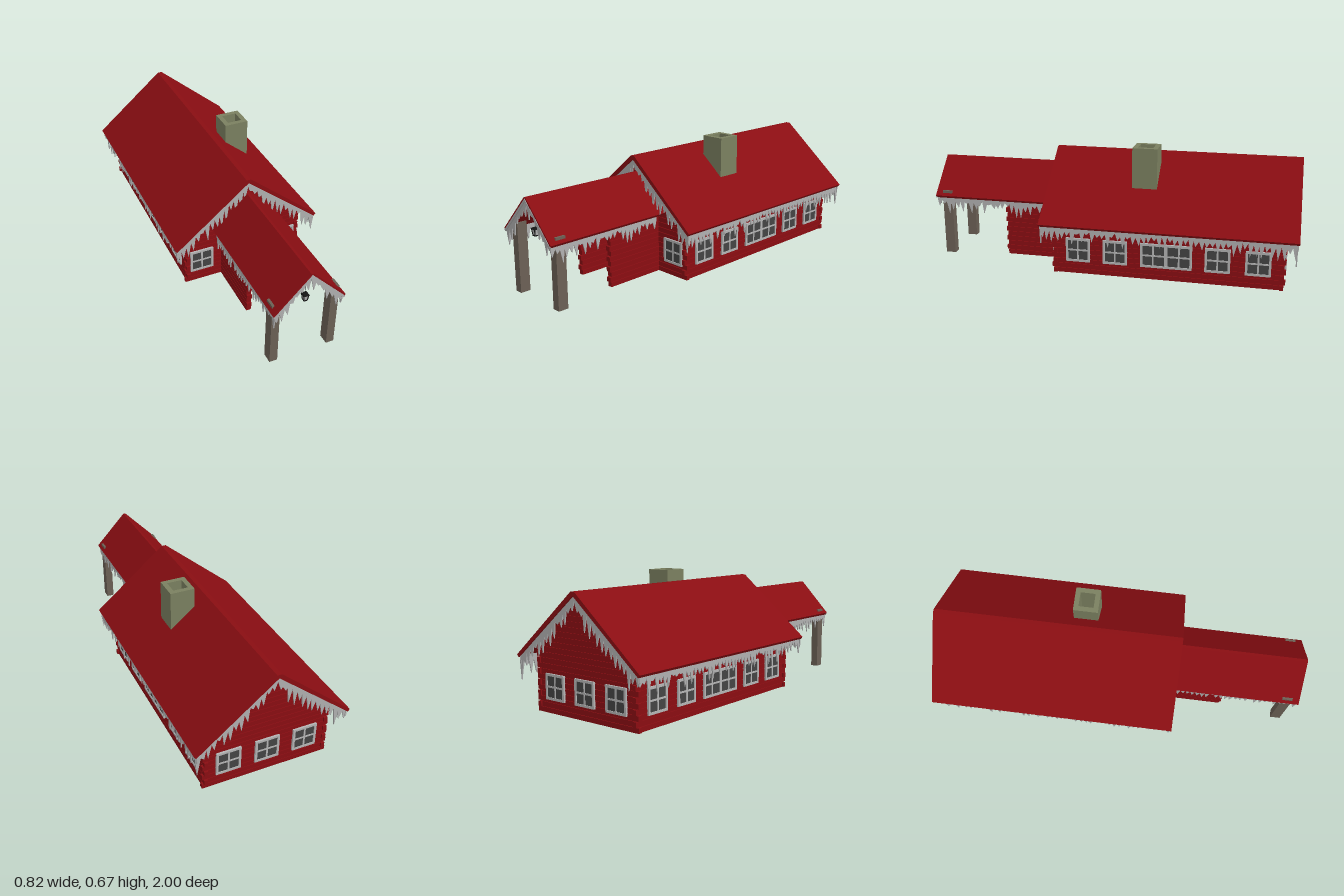
import * as THREE from 'three';

const mat = (color, side = THREE.FrontSide) => new THREE.MeshStandardMaterial({ color, side, flatShading: true });
const RED = mat(0x8a0d12), ICE = mat(0xb0b0b0, THREE.DoubleSide), FRAME = mat(0xb4b4b4), GLASS = mat(0x444444);
const POST = mat(0x6b6055), DOOR = mat(0x80553c), STONE = mat(0x7b8060), BLACK = mat(0x151515);

let seed = 7;
const rnd = () => (seed = (seed * 16807) % 2147483647) / 2147483647;

function add(parent, name, geo, material, x = 0, y = 0, z = 0) {
  const m = new THREE.Mesh(geo, material);
  m.name = name;
  m.position.set(x, y, z);
  parent.add(m);
  return m;
}
const box = (parent, name, material, w, h, d, x, y, z) =>
  add(parent, name, new THREE.BoxGeometry(w, h, d), material, x, y, z);
function group(parent, name) {
  const g = new THREE.Group();
  g.name = name;
  parent.add(g);
  return g;
}
const outline = pts => new THREE.Shape(pts.map(p => new THREE.Vector2(p[0], p[1])));
const extrude = (shape, depth) => new THREE.ExtrudeGeometry(shape, { depth, bevelEnabled: false });

// Gabled roof slab from its front section
function roof(parent, name, half, eave, ridge, flat, t, z0, z1) {
  const pts = [[-flat, ridge], [-half, eave], [-half + 0.01, eave - 0.013], [0, ridge - t],
    [half - 0.01, eave - 0.013], [half, eave], [flat, ridge]];
  add(parent, name, extrude(outline(pts), z1 - z0), RED, 0, 0, z0);
}

// Jagged sheet of icicles hanging from the line (u0,v0)-(u1,v1)
function icicles(parent, name, u0, v0, u1, v1, min, max) {
  const n = Math.max(4, Math.round(Math.abs(u1 - u0) / 0.027));
  const at = t => [u0 + (u1 - u0) * t, v0 + (v1 - v0) * t];
  const pts = [at(0), at(1)];
  for (let i = n; i > 0; i--) {
    const [ru, rv] = at(i / n), [tu, tv] = at((i - 0.3 - rnd() * 0.4) / n);
    pts.push([ru, rv - min * (0.5 + rnd() * 0.5)]);
    pts.push([tu, tv - min - (max - min) * rnd()]);
  }
  pts.push([u0, v0 - min * 0.6]);
  return add(parent, name, extrude(outline(pts), 0.006), ICE);
}

// Framed window with crossing bars, facing +z
function windowUnit(parent, x, y, z, turn, panes = 1) {
  const g = group(parent, 'window'), w = 0.13 * panes + (panes > 1 ? 0.01 : 0), h = 0.13, b = 0.012;
  box(g, 'glass', GLASS, w - b, h - b, 0.006, 0, 0, 0);
  for (const s of [-1, 1]) {
    box(g, 'frameSide', FRAME, b, h, 0.014, s * (w - b) / 2, 0, 0);
    box(g, 'frameRail', FRAME, w, b, 0.014, 0, s * (h - b) / 2, 0);
  }
  box(g, 'crossBar', FRAME, w, 0.009, 0.011, 0, 0, 0);
  const n = panes * 2;
  for (let i = 1; i < n; i++)
    box(g, 'uprightBar', FRAME, i % 2 ? 0.009 : 0.018, h, 0.011, -w / 2 + w * i / n, 0, 0);
  g.position.set(x, y, z);
  g.rotation.y = turn;
}

export function createModel() {
  const root = new THREE.Group();
  root.name = 'logCabin';
  const pitch = 0.0275, logH = 0.0245, zF = 0.27, zB = -0.935, zMid = (zF + zB) / 2, len = zF - zB;

  // Main house: solid core with courses of logs, ends alternating at the corners
  const house = group(root, 'house');
  const core = outline([[-0.325, 0], [0.325, 0], [0.325, 0.33], [0, 0.596], [-0.325, 0.33]]);
  add(house, 'wallCore', extrude(core, len - 0.01), RED, 0, 0, zB + 0.005);
  for (let k = 0; k < 21; k++) {
    const y = (k + 0.5) * pitch, wall = k < 12;
    const half = Math.min(0.33, (0.598 - (k + 1) * pitch) / 0.82);
    const ex = wall && k % 2 === 0 ? 0.008 : 0, ez = wall && k % 2 ? 0.008 : 0;
    for (const z of [zF - 0.01, zB + 0.01])
      box(house, 'gableLog', RED, 2 * (half + ex), logH, 0.02, 0, y, z);
    if (wall) for (const s of [-1, 1])
      box(house, 'sideLog', RED, 0.02, logH, len + 2 * ez, s * 0.32, y, zMid);
    if (k > 16) box(house, 'ridgeLogEnd', RED, 0.026, logH, 0.02, 0, y, zF + 0.005);
  }
  roof(root, 'mainRoof', 0.41, 0.285, 0.617, 0.012, 0.019, -1, 0.33);

  // Windows
  for (const s of [-1, 1]) {
    windowUnit(root, s * 0.243, 0.135, zF + 0.003, 0);
    for (const [z, panes] of [[0.135, 1], [-0.065, 1], [-0.335, 2], [-0.6, 1], [-0.805, 1]])
      windowUnit(root, s * 0.333, 0.135, z, s * Math.PI / 2, panes);
  }
  for (const x of [-0.205, 0, 0.205]) windowUnit(root, x, 0.135, zB - 0.003, Math.PI);

  // Door with an irregular pane
  box(root, 'door', DOOR, 0.13, 0.188, 0.016, 0, 0.094, zF + 0.004);
  const pane = outline([[-0.028, 0.11], [0.026, 0.11], [0.03, 0.145], [0.034, 0.178], [-0.034, 0.18], [-0.032, 0.145]]);
  add(root, 'doorPane', extrude(pane, 0.006), GLASS, 0, 0, zF + 0.01);

  // Porch: open passage between two log walls, roof on two posts
  const porch = group(root, 'porch');
  for (const s of [-1, 1]) {
    box(porch, 'porchWallCore', RED, 0.016, 0.365, 0.325, s * 0.117, 0.1825, 0.4325);
    for (let k = 0; k < 13; k++) {
      const e = k % 2 ? 0.008 : 0;
      box(porch, 'porchLog', RED, 0.026, logH, 0.335 + e, s * 0.117, (k + 0.5) * pitch, 0.4325 + e / 2);
    }
    box(porch, 'post', POST, 0.042, 0.365, 0.055, s * 0.156, 0.1825, 0.935);
  }
  roof(porch, 'porchRoof', 0.19, 0.338, 0.53, 0.006, 0.014, 0.26, 1);

  // Grey edging under the porch roof front
  const edge = outline([[-0.187, 0.33], [0, 0.524], [0.187, 0.33], [0.18, 0.322], [0, 0.51], [-0.18, 0.322]]);
  add(porch, 'porchEdging', extrude(edge, 0.006), ICE, 0, 0, 0.996);

  // Hanging lantern
  const lamp = group(porch, 'lantern');
  const lampPart = (name, top, bottom, h, y, m) =>
    add(lamp, name, new THREE.CylinderGeometry(top, bottom, h, 4).rotateY(Math.PI / 4), m, 0, y, 0.95);
  lampPart('lanternGlass', 0.017, 0.011, 0.03, 0.35, FRAME);
  lampPart('lanternCap', 0.017, 0.023, 0.007, 0.368, BLACK);
  lampPart('lanternBase', 0.014, 0.014, 0.005, 0.333, BLACK);
  lampPart('lanternCord', 0.001, 0.001, 0.14, 0.442, BLACK);
  for (const sx of [-1, 1]) for (const sz of [-1, 1]) {
    const bar = box(lamp, 'lanternBar', BLACK, 0.004, 0.032, 0.004, sx * 0.0105, 0.35, 0.95 + sz * 0.0105);
    bar.rotation.set(sz * 0.13, 0, -sx * 0.13);
  }

  // Chimney with an open flue
  const stack = outline([[-0.066, -0.066], [0.066, -0.066], [0.066, 0.066], [-0.066, 0.066]]);
  stack.holes.push(outline([[-0.04, -0.04], [-0.04, 0.04], [0.04, 0.04], [0.04, -0.04]]));
  add(root, 'chimney', extrude(stack, 0.22).rotateX(-Math.PI / 2), STONE, 0.14, 0.45, -0.195);

  // Icicles along gables and eaves
  const ice = group(root, 'icicles');
  for (const s of [-1, 1]) {
    for (const z of [0.318, -0.992])
      icicles(ice, 'gableIcicles', 0, 0.597, s * 0.4, 0.276, 0.04, 0.13).position.z = z;
    icicles(ice, 'porchGableIcicles', 0, 0.514, s * 0.18, 0.328, 0.03, 0.09).position.z = 0.988;
    const eave = icicles(ice, 'eaveIcicles', -0.325, 0.28, 0.995, 0.28, 0.035, 0.105);
    eave.rotation.y = Math.PI / 2;
    eave.position.x = s * 0.393 - 0.003;
    const side = icicles(ice, 'porchEaveIcicles', -0.995, 0.333, -0.33, 0.333, 0.035, 0.1);
    side.rotation.y = Math.PI / 2;
    side.position.x = s * 0.176 - 0.003;
  }
  return root;
}
